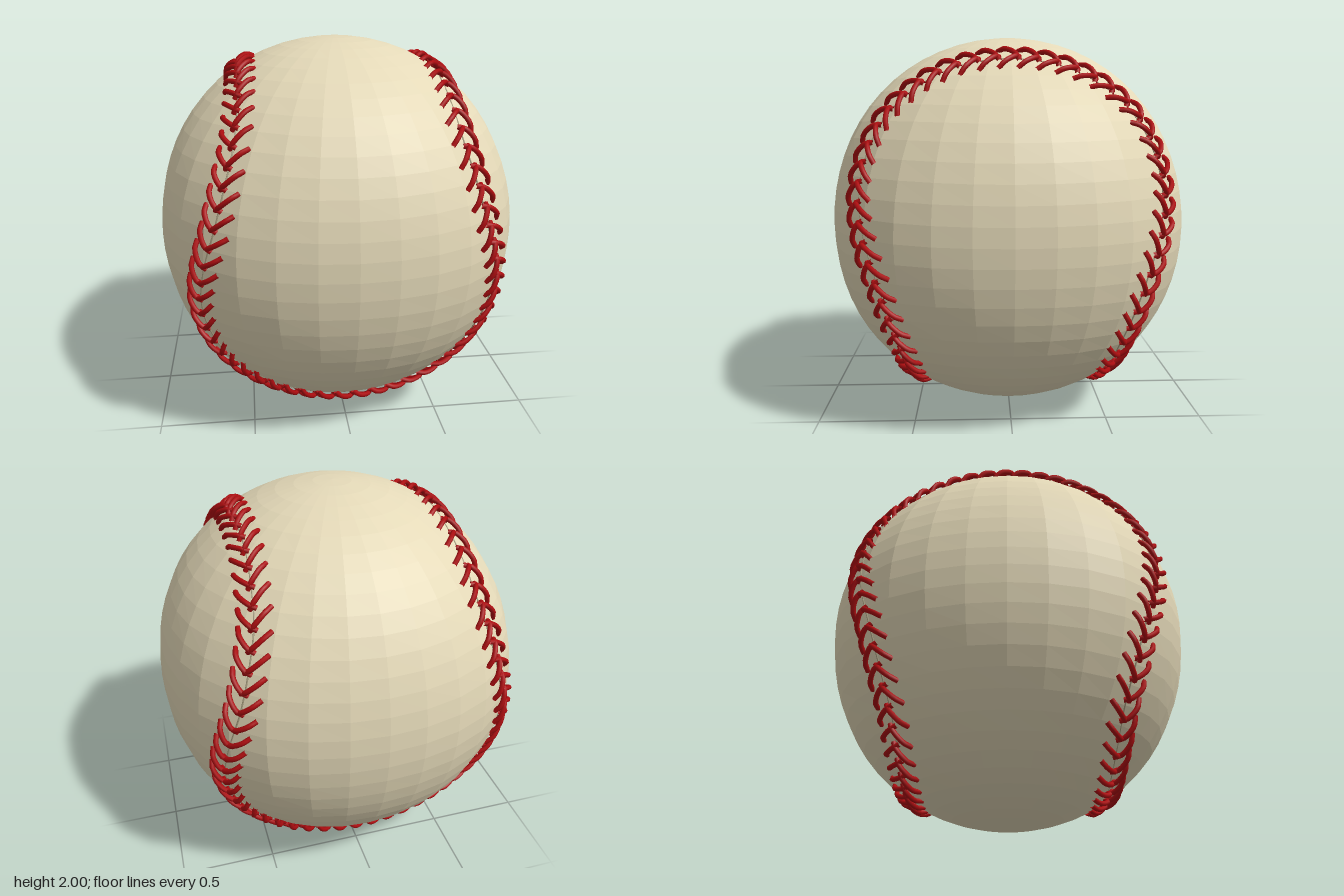
import * as THREE from 'three';
import { mergeGeometries } from 'three/addons/utils/BufferGeometryUtils.js';

const STITCHES = 108;

// Projects a point onto the ball, which is slightly flattened at the four sides
function onBall(p, lift = 0) {
  const d = p.clone().normalize();
  const flat = (d.x * d.x - d.z * d.z) ** 2;
  return d.multiplyScalar(0.998 - 0.038 * flat + lift);
}

// Closed seam: one eighth is given, the rest follows by swapping x/z and mirroring
function seamCurve() {
  const eighth = [
    [0.515, 0.865, 0], [0.51, 0.79, 0.335], [0.54, 0.59, 0.605],
    [0.595, 0.39, 0.705], [0.655, 0.195, 0.74], [0.707, 0, 0.707],
  ];
  const swapped = eighth.slice(0, -1).reverse().map(([x, y, z]) => [z, -y, x]);
  const quarter = [...eighth, ...swapped];
  const points = [];
  [[-1, 1], [1, 1], [1, -1], [-1, -1]].forEach(([sx, sz], i) => {
    const run = i % 2 ? [...quarter].reverse() : quarter;
    run.slice(0, -1).forEach(([x, y, z]) =>
      points.push(onBall(new THREE.Vector3(x * sx, y, z * sz))));
  });
  const curve = new THREE.CatmullRomCurve3(points, true);
  curve.arcLengthDivisions = 800;
  return curve;
}

// One thread from the seam out to one side (s = 1 or -1)
function threadGeometry(p, tangent, side, s) {
  const path = [
    [0.04, -0.018, 0.0], [0.024, 0.008, 0.02], [-0.002, 0.036, 0.025],
    [-0.034, 0.064, 0.02], [-0.066, 0.086, -0.003],
  ].map(([along, out, lift]) => onBall(
    p.clone().addScaledVector(tangent, along).addScaledVector(side, out * s), lift));
  return new THREE.TubeGeometry(new THREE.CatmullRomCurve3(path), 8, 0.013, 7, false);
}

export function createModel() {
  const model = new THREE.Group();
  model.name = 'ball';

  // Faceted leather body
  const bodyGeometry = new THREE.SphereGeometry(1, 32, 32);
  const position = bodyGeometry.attributes.position;
  const v = new THREE.Vector3();
  for (let i = 0; i < position.count; i++) {
    const q = onBall(v.fromBufferAttribute(position, i));
    position.setXYZ(i, q.x, q.y, q.z);
  }
  bodyGeometry.computeVertexNormals();
  const body = new THREE.Mesh(bodyGeometry,
    new THREE.MeshStandardMaterial({ color: 0xe4d9b8, flatShading: true }));
  body.name = 'leatherBody';

  // Thin seam line where the two panels meet
  const curve = seamCurve();
  const line = new THREE.CatmullRomCurve3(
    curve.getSpacedPoints(200).slice(0, -1).map((p) => onBall(p, -0.003)), true);
  const seam = new THREE.Mesh(new THREE.TubeGeometry(line, 300, 0.004, 5, true),
    new THREE.MeshStandardMaterial({ color: 0xa89e80 }));
  seam.name = 'seamLine';

  // V-shaped stitches all pointing along the seam
  const threads = [];
  for (let i = 0; i < STITCHES; i++) {
    const u = i / STITCHES;
    const p = onBall(curve.getPointAt(u));
    const tangent = curve.getTangentAt(u);
    const side = tangent.clone().cross(p).normalize();
    for (const s of [-1, 1]) threads.push(threadGeometry(p, tangent, side, s));
  }
  const stitching = new THREE.Mesh(mergeGeometries(threads),
    new THREE.MeshStandardMaterial({ color: 0xad0d10, side: THREE.DoubleSide }));
  stitching.name = 'stitching';

  model.add(body, seam, stitching);
  model.children.forEach((mesh) => { mesh.position.y = 1; });
  return model;
}
